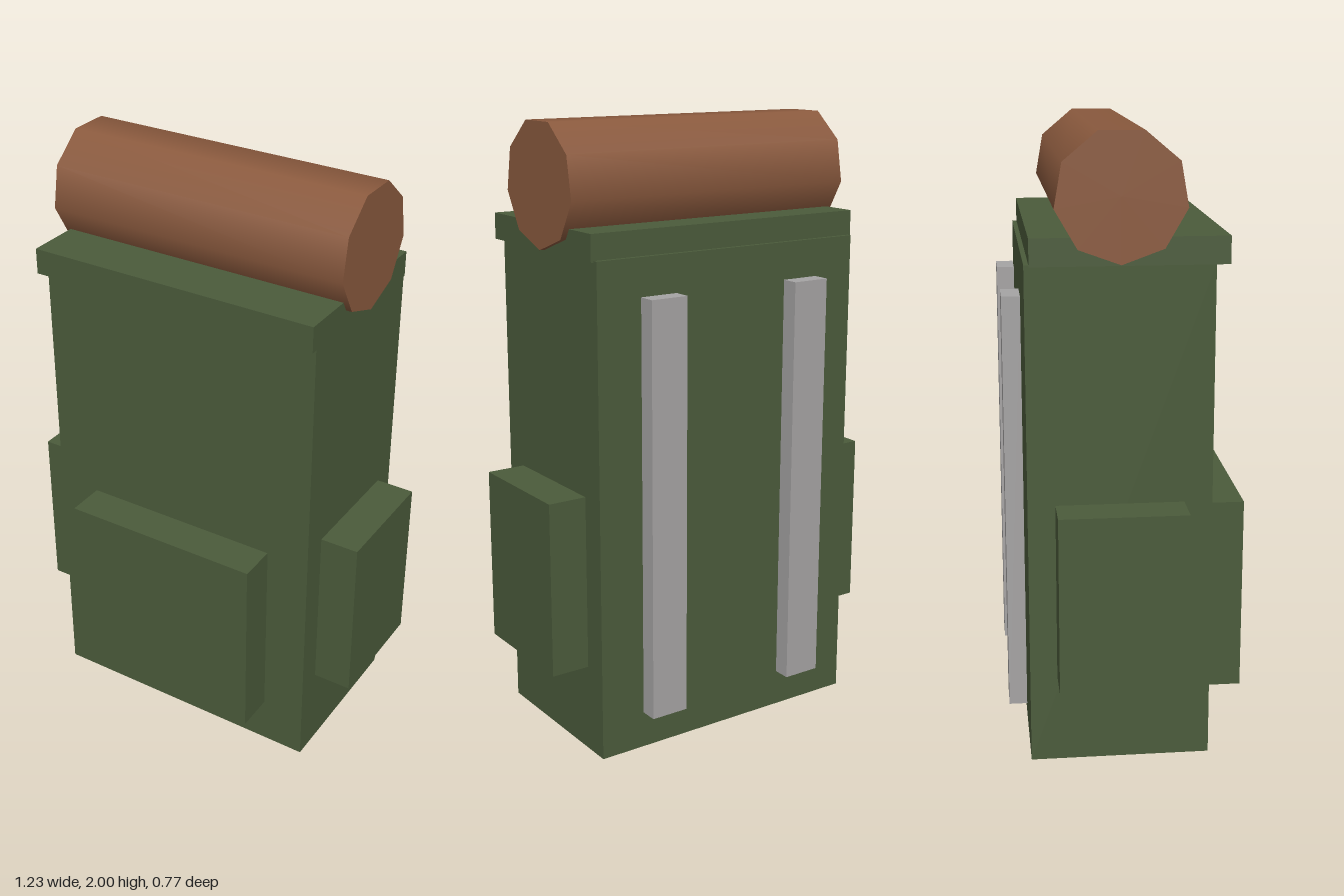
import * as THREE from 'three';

export function createModel() {
  const group = new THREE.Group();
  const canvasGreen = new THREE.MeshStandardMaterial({ color: 0x4b5b3b });
  canvasGreen.name = 'canvasGreen';
  const rollBrown = new THREE.MeshStandardMaterial({ color: 0x8b5a3e });
  rollBrown.name = 'rollBrown';
  const strapGrey = new THREE.MeshStandardMaterial({ color: 0xa6a4a4 });
  strapGrey.name = 'strapGrey';

  // Box given by its extents on each axis
  function box(name, material, [x0, x1], [y0, y1], [z0, z1]) {
    const mesh = new THREE.Mesh(new THREE.BoxGeometry(x1 - x0, y1 - y0, z1 - z0), material);
    mesh.position.set((x0 + x1) / 2, (y0 + y1) / 2, (z0 + z1) / 2);
    mesh.name = name;
    group.add(mesh);
  }

  // Main bag, lid and front pocket
  box('body', canvasGreen, [-0.488, 0.488], [0, 1.61], [-0.32, 0.255]);
  box('lid', canvasGreen, [-0.498, 0.498], [1.605, 1.69], [-0.305, 0.296]);
  box('frontPocket', canvasGreen, [-0.341, 0.341], [0.163, 0.805], [0.25, 0.384]);

  // Mirrored side pockets and shoulder straps
  for (const [side, s] of [['left', 1], ['right', -1]]) {
    const span = (a, b) => (s > 0 ? [a, b] : [-b, -a]);
    box(side + 'SidePocket', canvasGreen, span(0.48, 0.617), [0.29, 0.863], [-0.234, 0.167]);
    box(side + 'ShoulderStrap', strapGrey, span(0.208, 0.337), [0.125, 1.49], [-0.384, -0.326]);
  }

  // Nine-sided bedroll lying across the lid, one corner pointing down
  const roll = new THREE.Mesh(
    new THREE.CylinderGeometry(0.201, 0.201, 1.034, 9, 1, false, -Math.PI / 2), rollBrown);
  roll.rotation.z = Math.PI / 2;
  roll.position.set(0, 1.811, -0.033);
  roll.name = 'bedroll';
  group.add(roll);

  return group;
}
